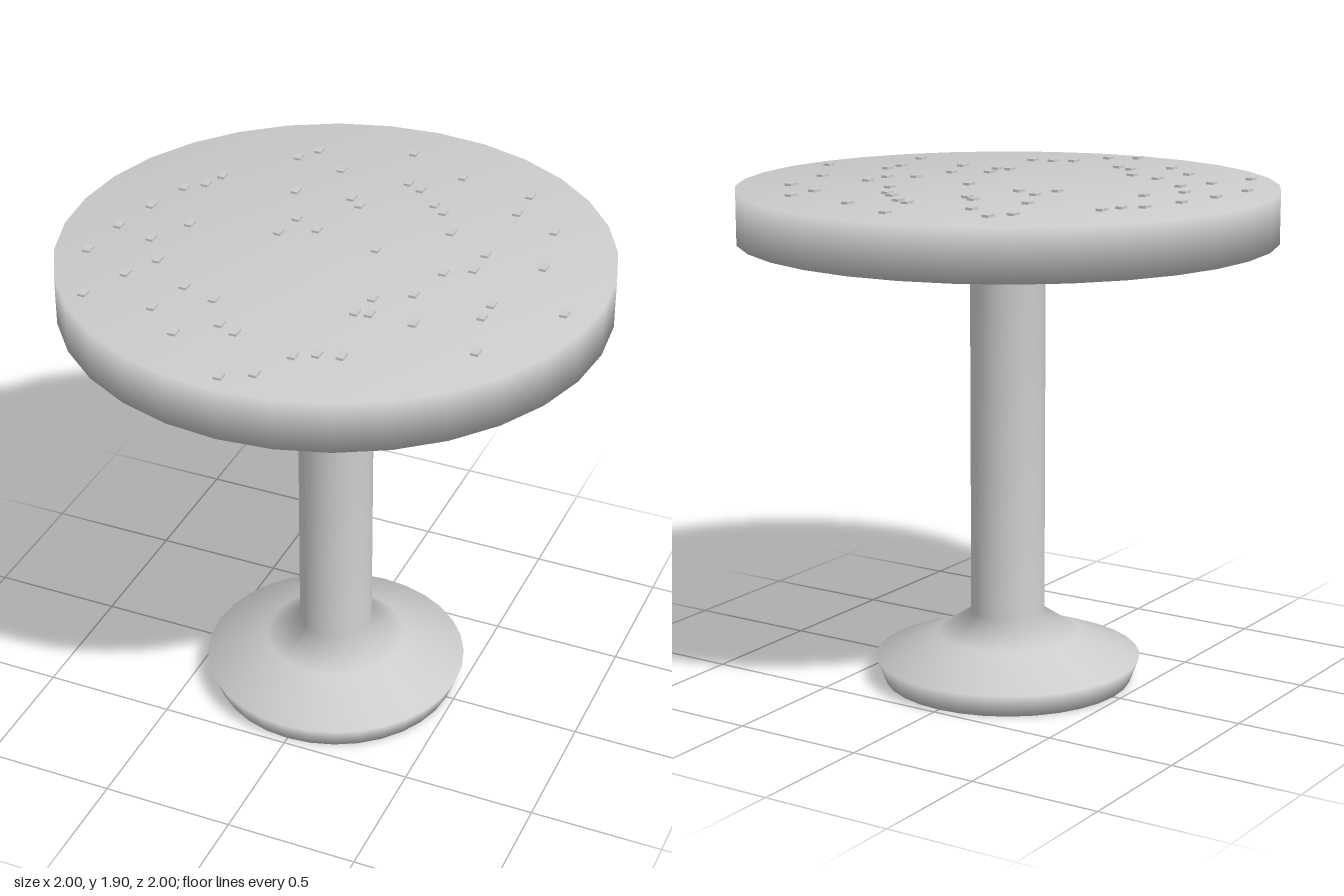
import * as THREE from 'three';

const SEGMENTS = 32;

// Smooth turned part from [radius, height] pairs, listed bottom to top
function turned(name, profile, material) {
  const points = profile.map(([r, y]) => new THREE.Vector2(r, y));
  const mesh = new THREE.Mesh(new THREE.LatheGeometry(points, SEGMENTS), material);
  mesh.name = name;
  return mesh;
}

// Positions [x, z] of the small chips scattered over the table top
const CHIPS = [
  [-.02, -.80], [-.36, -.68], [-.41, -.60], [-.22, -.57], [.05, -.57], [.11, -.54], [.22, -.69],
  [.50, -.65], [.50, -.51], [.67, -.43], [.20, -.45], [.25, -.41], [-.10, -.38], [-.05, -.34],
  [-.31, -.35], [-.61, -.35], [-.64, -.27], [-.70, -.21], [.33, -.28], [.50, -.18], [.72, -.17],
  [-.22, -.16], [-.12, -.11], [-.24, -.04], [.13, -.06], [.50, -.06], [.41, 0], [-.75, -.04],
  [-.56, .03], [-.79, .14], [-.64, .18], [-.55, .31], [-.81, .34], [-.61, .44], [-.38, .44],
  [-.25, .48], [-.68, .62], [-.42, .61], [-.16, .62], [-.09, .65], [-.28, .73], [.37, .18],
  [.25, .26], [.23, .37], [.28, .36], [.44, .36], [.64, .14], [.64, .23], [.89, .10],
  [.70, .45], [.30, .65], [.22, .67], [.15, .71], [.08, .86], [-.02, .92],
];

export function createModel() {
  const model = new THREE.Group();
  model.name = 'pedestalTable';

  const grey = new THREE.MeshStandardMaterial({ color: 0xcccccc });
  grey.name = 'light grey';

  // Flared foot, column and collar in one turned piece
  model.add(turned('pedestal', [
    [0, 0], [0.47, 0], [0.505, 0.09], [0.27, 0.18], [0.14, 0.265], [0.14, 1.66], [0.205, 1.70],
  ], grey));

  // Round table top
  model.add(turned('tableTop', [[0, 1.70], [1, 1.70], [1, 1.89], [0, 1.89]], grey));

  // Scattered chips lying on the top
  const chips = new THREE.Group();
  chips.name = 'chips';
  const chipGeometry = new THREE.BoxGeometry(0.027, 0.009, 0.042);
  for (const [x, z] of CHIPS) {
    const chip = new THREE.Mesh(chipGeometry, grey);
    chip.name = 'chip';
    chip.position.set(x, 1.8945, z);
    chips.add(chip);
  }
  model.add(chips);

  return model;
}
